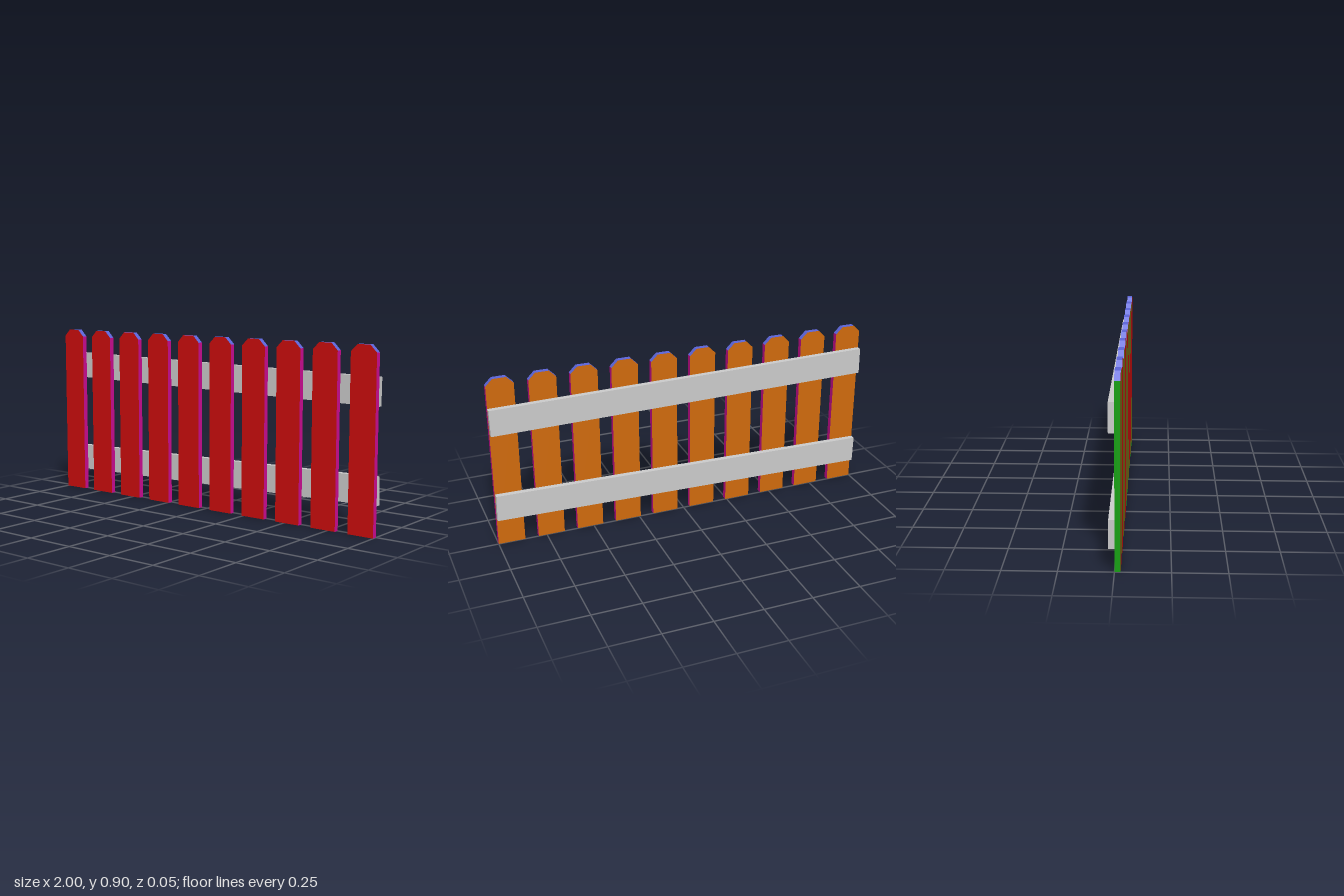
import * as THREE from 'three';

const COUNT = 10, WIDTH = 0.137, HEIGHT = 0.897, DEPTH = 0.027, CHAMFER = 0.035;

function paint(name, color) {
  const m = new THREE.MeshStandardMaterial({ color });
  m.name = name;
  return m;
}

// Picket: clipped-corner outline, with one material group per face direction
function picketGeometry() {
  const w = WIDTH / 2, c = CHAMFER;
  const outline = [
    [-w, 0], [w, 0], [w, HEIGHT - c], [w - c, HEIGHT], [-w + c, HEIGHT], [-w, HEIGHT - c],
  ];
  const edgeMaterial = [5, 2, 4, 4, 4, 3]; // bottom, left, three top facets, right
  const pos = [], geo = new THREE.BufferGeometry();
  const point = (i, z) => [...outline[i % outline.length], z];
  const face = (material, ...points) => {
    const start = pos.length / 3;
    for (let i = 1; i < points.length - 1; i++) pos.push(...points[0], ...points[i], ...points[i + 1]);
    geo.addGroup(start, pos.length / 3 - start, material);
  };
  face(0, ...outline.map((_, i) => point(i, DEPTH)));
  face(1, ...outline.map((_, i) => point(i, 0)).reverse());
  edgeMaterial.forEach((m, i) =>
    face(m, point(i, 0), point(i + 1, 0), point(i + 1, DEPTH), point(i, DEPTH)));
  geo.setAttribute('position', new THREE.Float32BufferAttribute(pos, 3));
  geo.computeVertexNormals();
  return geo;
}

export function createModel() {
  const fence = new THREE.Group();
  fence.name = 'picketFence';

  const picketPaint = [
    paint('frontRed', 0xcc0d0d),
    paint('backOrange', 0xcf6a0c),
    paint('leftMagenta', 0xcc0c92),
    paint('rightGreen', 0x14a010),
    paint('topBlue', 0x5c64d8),
    paint('bottomKhaki', 0xc6c490),
  ];
  const railGrey = paint('railGrey', 0xcbcbcb);

  // Row of pickets
  const geo = picketGeometry();
  for (let i = 0; i < COUNT; i++) {
    const picket = new THREE.Mesh(geo, picketPaint);
    picket.name = `picket${i + 1}`;
    picket.position.x = (2 - WIDTH) * (i / (COUNT - 1) - 0.5);
    fence.add(picket);
  }

  // Two slightly crooked rails nailed to the back
  const rails = [['upperRail', 0.691, -0.0112], ['lowerRail', 0.196, 0.0205]];
  for (const [name, y, tilt] of rails) {
    const rail = new THREE.Mesh(new THREE.BoxGeometry(1.998, 0.137, DEPTH), railGrey);
    rail.name = name;
    rail.position.set(0, y, -DEPTH / 2);
    rail.rotation.z = tilt;
    fence.add(rail);
  }
  return fence;
}
